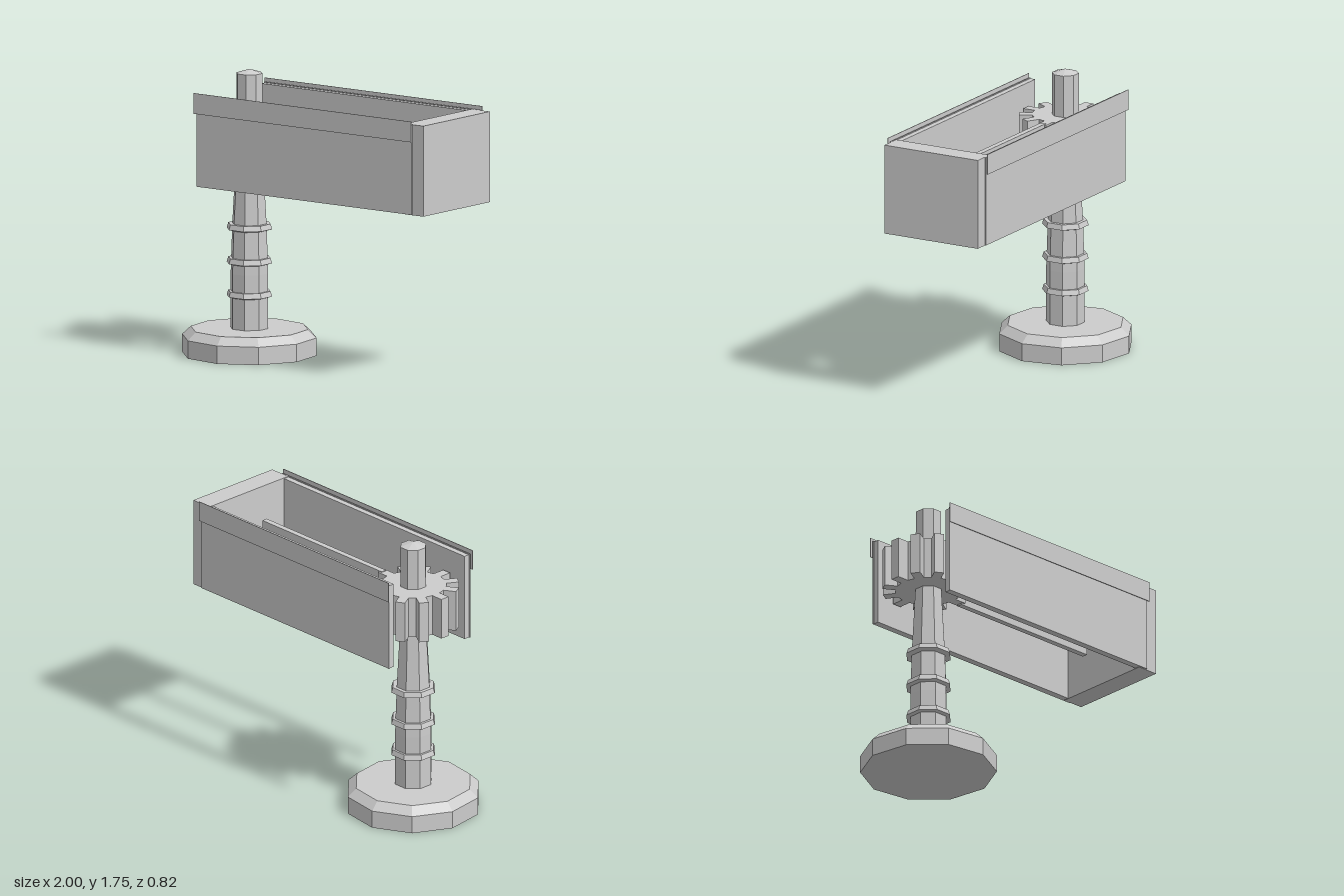
import * as THREE from 'three';

const AXIS_X = -0.59; // the post, base and gear share this vertical axis

export function createModel() {
  const group = new THREE.Group();
  const grey = new THREE.MeshStandardMaterial({ color: 0xcccccc, flatShading: true });
  grey.name = 'grey';

  const add = (name, geometry, x = 0, y = 0, z = 0) => {
    const mesh = new THREE.Mesh(geometry, grey);
    mesh.name = name;
    mesh.position.set(x, y, z);
    group.add(mesh);
    return mesh;
  };
  // Box given by its lower and upper limits
  const box = (name, x0, x1, y0, y1, z0, z1) =>
    add(name, new THREE.BoxGeometry(x1 - x0, y1 - y0, z1 - z0),
      (x0 + x1) / 2, (y0 + y1) / 2, (z0 + z1) / 2);
  // Faceted turned part around the post axis
  const turned = (name, profile, sides, startDeg) =>
    add(name, new THREE.LatheGeometry(profile.map(([r, y]) => new THREE.Vector2(r, y)),
      sides, THREE.MathUtils.degToRad(startDeg)), AXIS_X);

  // Ten-sided foot with a bevelled rim
  turned('base', [[0, 0], [0.415, 0], [0.415, 0.11], [0.362, 0.16], [0, 0.16]], 10, 9.5);

  // Tapered eight-sided post with a pointed top
  turned('post', [[0.118, 0.15], [0.118, 0.5], [0.108, 0.8], [0.085, 1.21],
    [0.082, 1.73], [0, 1.755]], 8, 22.5);

  // Ridged collars on the post
  for (const y of [0.37, 0.575, 0.785]) {
    turned('postCollar', [[0.1, y - 0.025], [0.143, y - 0.012], [0.133, y + 0.02], [0.1, y + 0.02]], 8, 22.5);
  }

  // Twelve-tooth gear
  const gear = new THREE.Shape();
  const teeth = 12, root = 0.2, tip = 0.28, half = 0.03;
  for (let i = 0; i < teeth; i++) {
    const a = (i / teeth) * Math.PI * 2;
    const c = Math.cos(a), s = Math.sin(a);
    for (const [u, v] of [[root, -half], [tip, -half], [tip, half], [root, half]]) {
      const x = u * c - v * s, y = u * s + v * c;
      if (i === 0 && u === root && v < 0) gear.moveTo(x, y);
      else gear.lineTo(x, y);
    }
  }
  gear.closePath();
  const gearGeometry = new THREE.ExtrudeGeometry(gear, { depth: 0.26, bevelEnabled: false });
  gearGeometry.rotateX(-Math.PI / 2);
  add('gear', gearGeometry, AXIS_X, 1.21);

  // Thin upright bar running from the gear along the middle
  box('centreBar', -0.33, 0.72, 1.2, 1.475, -0.018, 0.018);

  // Closed end of the open frame
  box('endBlock', 0.86, 1, 1.057, 1.615, -0.33, 0.33);

  // Side walls, outer skins and the raised rails along their top edges
  for (const side of [-1, 1]) {
    const wall = (name, x0, x1, y0, y1, near, far) =>
      box(name, x0, x1, y0, y1, Math.min(side * near, side * far), Math.max(side * near, side * far));
    wall('sideWall', -0.73, 0.9, 1.06, 1.61, 0.297, 0.332);
    wall('sideSkin', -0.735, 0.918, 1.06, 1.615, 0.332, 0.34);
    wall('topRail', -0.745, 0.925, 1.51, 1.637, 0.35, 0.354);
  }

  return group;
}
